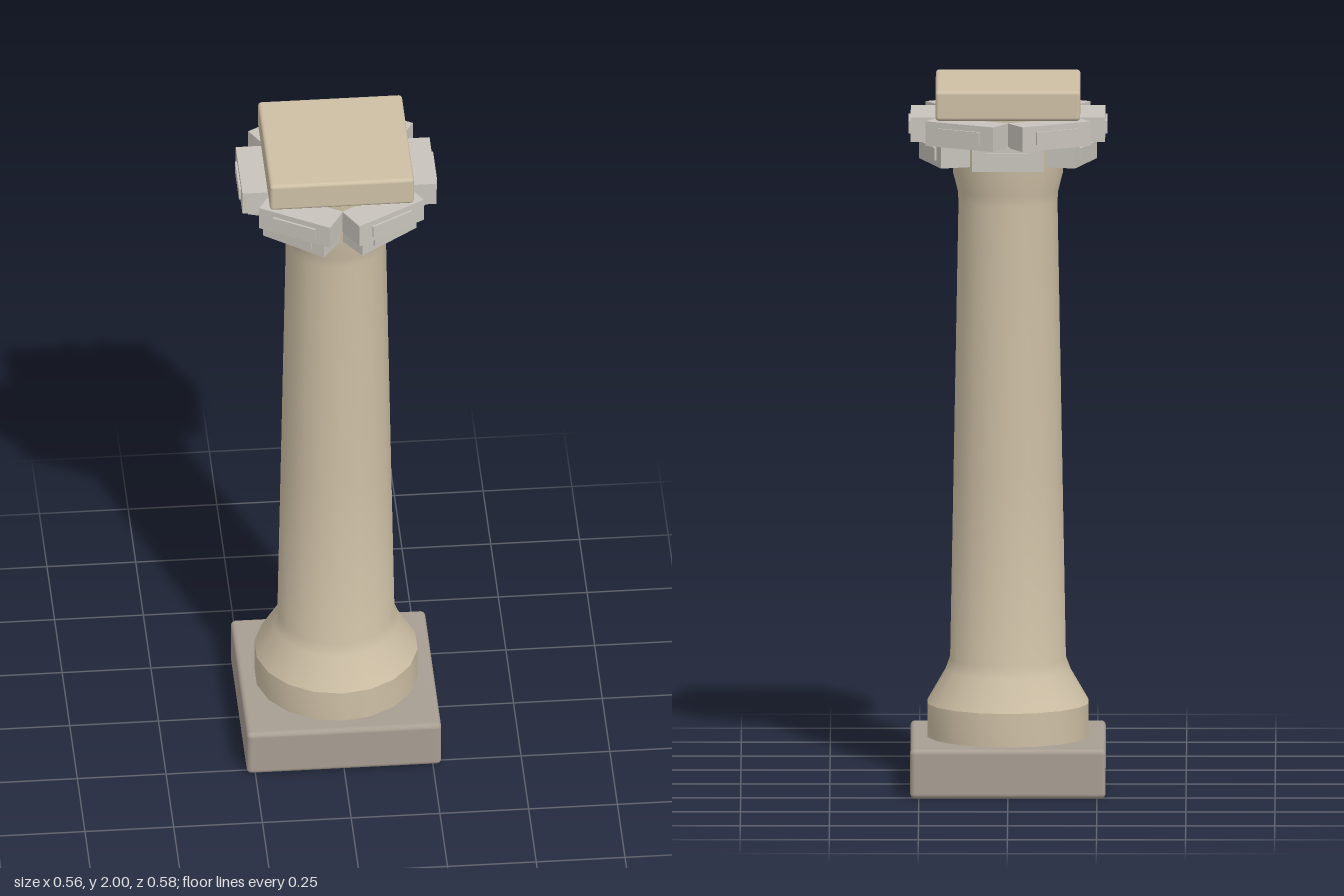
import * as THREE from 'three';
import { toCreasedNormals } from 'three/addons/utils/BufferGeometryUtils.js';
import { RoundedBoxGeometry } from 'three/addons/geometries/RoundedBoxGeometry.js';

export function createModel() {
  const group = new THREE.Group();
  const material = (name, color) => {
    const m = new THREE.MeshStandardMaterial({ color });
    m.name = name;
    return m;
  };
  const sandstone = material('sandstone', 0xcdbfa5);
  const darkStone = material('dark stone', 0xa89e93);
  const paleStone = material('pale stone', 0xc8c4bc);

  const add = (parent, name, geometry, mat, x, y, z) => {
    const mesh = new THREE.Mesh(geometry, mat);
    mesh.name = name;
    mesh.position.set(x, y, z);
    parent.add(mesh);
    return mesh;
  };

  // Square slabs at the foot and the top
  add(group, 'plinth', new RoundedBoxGeometry(0.548, 0.14, 0.548, 3, 0.014), darkStone, 0, 0.07, 0);
  add(group, 'abacus', new RoundedBoxGeometry(0.406, 0.085, 0.406, 3, 0.01), sandstone, 0, 1.9575, 0);

  // Turned shaft: drum foot, sloping shoulder, tapering body, flared neck
  const profile = [
    [0, 0.13], [0.23, 0.13], [0.23, 0.235], [0.178, 0.325], [0.165, 0.36],
    [0.155, 0.9], [0.141, 1.66], [0.143, 1.69], [0.157, 1.745], [0.157, 1.917], [0, 1.917],
  ].map(([r, y]) => new THREE.Vector2(r, y));
  const shaft = toCreasedNormals(new THREE.LatheGeometry(profile, 18), THREE.MathUtils.degToRad(28));
  add(group, 'shaft', shaft, sandstone, 0, 0, 0);

  // Rings of capital blocks, each block with a raised panel on its outer face
  const addRing = (name, count, start, radius, width, y) => {
    const depth = 0.085, height = 0.07;
    const ring = new THREE.Group();
    ring.name = name;
    for (let i = 0; i < count; i++) {
      const block = new THREE.Group();
      block.name = 'capitalBlock';
      block.rotation.y = start + (i / count) * Math.PI * 2;
      add(block, 'block', new THREE.BoxGeometry(depth, height, width), paleStone, radius - depth / 2, y, 0);
      add(block, 'panel', new THREE.BoxGeometry(0.008, 0.036, width * 0.6), paleStone, radius + 0.002, y, 0);
      ring.add(block);
    }
    group.add(ring);
  };
  addRing('lowerCapitalRing', 5, Math.PI / 2, 0.23, 0.2, 1.81);
  addRing('upperCapitalRing', 6, 0, 0.273, 0.22, 1.877);

  return group;
}
